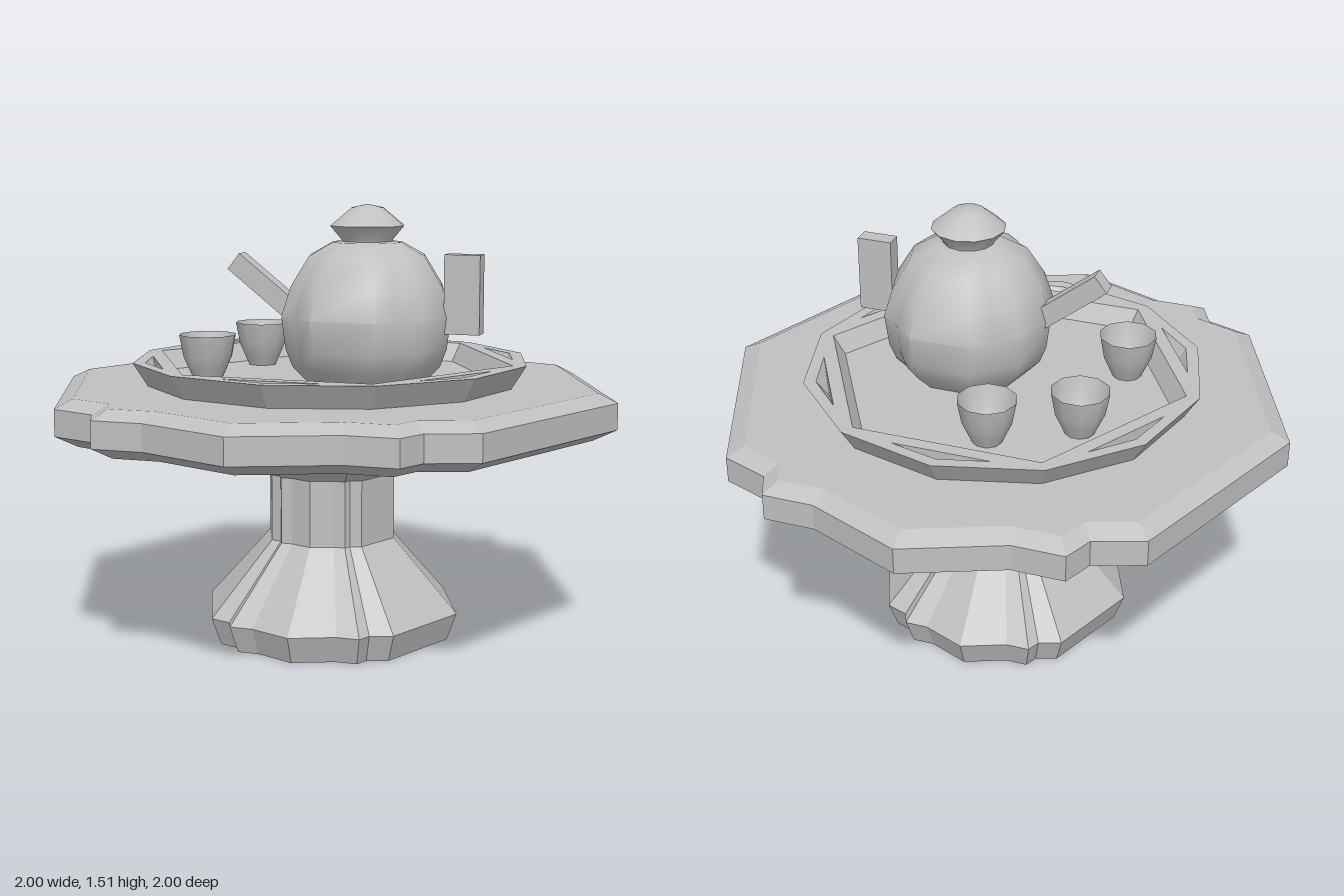
import * as THREE from 'three';
import { toCreasedNormals } from 'three/addons/utils/BufferGeometryUtils.js';

const FLAT = 0.08, SMOOTH = 0.8;

// Regular polygon of unit radius, first corner on +x
const ngon = (n) => Array.from({ length: n }, (_, i) => {
  const a = (i / n) * Math.PI * 2;
  return [Math.cos(a), Math.sin(a)];
});

// Closed outline from one quadrant listed from +x towards +z
function mirrorQuadrant(q) {
  const half = [...q, ...q.filter((p) => p[0] > 0).reverse().map(([x, z]) => [-x, z])];
  return [...half, ...half.slice(1, -1).reverse().map(([x, z]) => [x, -z])];
}

// Skin of an outline scaled by each [y, scale] level; scale 0 closes the end
function loft(outline, levels, crease) {
  const pos = [], idx = [], n = outline.length;
  for (const [y, s] of levels) for (const [x, z] of outline) pos.push(x * s, y, z * s);
  for (let j = 0; j < levels.length - 1; j++) {
    for (let i = 0; i < n; i++) {
      const a = j * n + i, b = j * n + (i + 1) % n, c = a + n, d = b + n;
      if (levels[j][1] > 0) idx.push(a, c, b);
      if (levels[j + 1][1] > 0) idx.push(b, c, d);
    }
  }
  const g = new THREE.BufferGeometry();
  g.setAttribute('position', new THREE.Float32BufferAttribute(pos, 3));
  g.setIndex(idx);
  return toCreasedNormals(g, crease);
}

export function createModel() {
  const model = new THREE.Group();
  const grey = new THREE.MeshStandardMaterial({ color: 0xc0c0c0, side: THREE.DoubleSide });
  grey.name = 'grey';
  const add = (name, geometry, parent = model) => {
    const mesh = new THREE.Mesh(geometry, grey);
    mesh.name = name;
    parent.add(mesh);
    return mesh;
  };

  // Table: the same notched outline for pedestal and top
  const notched = mirrorQuadrant([[1, 0], [0.71, 0.705], [0.545, 0.765], [0.5, 0.865], [0.325, 0.865], [0, 1]]);
  add('pedestal', loft(notched, [[0, 0], [0, 0.425], [0.095, 0.46], [0.35, 0.23], [0.58, 0.23], [0.735, 0.39]], FLAT));
  add('tableTop', loft(notched, [[0.735, 0], [0.735, 0.92], [0.775, 1], [0.865, 1], [0.895, 0.935], [0.895, 0]], FLAT));

  // Tray: twelve-sided rim, six-sided well and six triangular slots
  const tray = new THREE.Group();
  tray.name = 'tray';
  model.add(tray);
  const top = 0.975, wellR = 0.643;
  add('trayRim', loft(ngon(12), [[0.895, 0], [0.895, 0.64], [top, 0.69]], FLAT), tray);
  add('trayWell', loft(ngon(6), [[top, wellR], [0.91, 0.6], [0.91, 0]], FLAT), tray);

  const toPath = (pts) => pts.map(([x, y]) => new THREE.Vector2(x, y));
  const face = new THREE.Shape(toPath(ngon(12).map(([x, y]) => [x * 0.69, y * 0.69])));
  face.holes.push(new THREE.Path(toPath(ngon(6).map(([x, y]) => [x * wellR, y * wellR]))));
  for (let k = 0; k < 6; k++) {
    const turn = (k * Math.PI) / 3;
    const c = Math.cos(turn), s = Math.sin(turn);
    const corners = [[-0.17, 0.604], [0.17, 0.604], [0, 0.647]];
    face.holes.push(new THREE.Path(toPath(corners.map(([x, y]) => [x * c - y * s, x * s + y * c]))));

    // Slot walls falling to one low point at the inner edge
    const A = [-0.17, top, -0.604], B = [0.17, top, -0.604], C = [0, top, -0.647], D = [0, top - 0.06, -0.604];
    const g = new THREE.BufferGeometry();
    g.setAttribute('position', new THREE.Float32BufferAttribute([A, D, C, C, D, B, A, B, D].flat(), 3));
    g.computeVertexNormals();
    g.rotateY(turn);
    add('traySlot', g, tray);
  }
  const plate = new THREE.ShapeGeometry(face);
  plate.rotateX(-Math.PI / 2);
  plate.translate(0, top, 0);
  add('trayFace', plate, tray);

  // Teapot: lobed body with dented corners
  const pot = new THREE.Group();
  pot.name = 'teapot';
  pot.position.set(0.152, 0, 0.072);
  model.add(pot);
  const lobed = mirrorQuadrant([[1, 0], [0.85, 0.56], [0.68, 0.66], [0.6, 0.77], [0.36, 0.985]]);
  add('potBody', loft(lobed, [
    [0.91, 0], [0.91, 0.2], [0.97, 0.257], [1.03, 0.28], [1.14, 0.294],
    [1.24, 0.262], [1.34, 0.2], [1.385, 0.12], [1.395, 0],
  ], SMOOTH), pot);
  add('potLid', loft(ngon(12), [[1.38, 0.085], [1.395, 0.09], [1.44, 0.128], [1.5, 0.055], [1.512, 0]], SMOOTH), pot);

  const spout = add('spout', new THREE.BoxGeometry(0.36, 0.07, 0.06), pot);
  spout.position.set(-0.333, 1.2, 0);
  spout.rotation.z = -0.665;
  const handle = add('handle', new THREE.BoxGeometry(0.122, 0.265, 0.06), pot);
  handle.position.set(0.337, 1.217, 0);

  // Cups: thin bowls with an inner hollow
  const cupShape = loft(ngon(10), [
    [0.91, 0], [0.91, 0.05], [0.945, 0.066], [0.99, 0.086], [1.065, 0.1],
    [0.99, 0.08], [0.945, 0.055], [0.925, 0],
  ], SMOOTH);
  for (const [x, z] of [[-0.345, -0.235], [-0.078, -0.387], [-0.385, 0.19]]) {
    add('cup', cupShape, model).position.set(x, 0, z);
  }
  return model;
}
